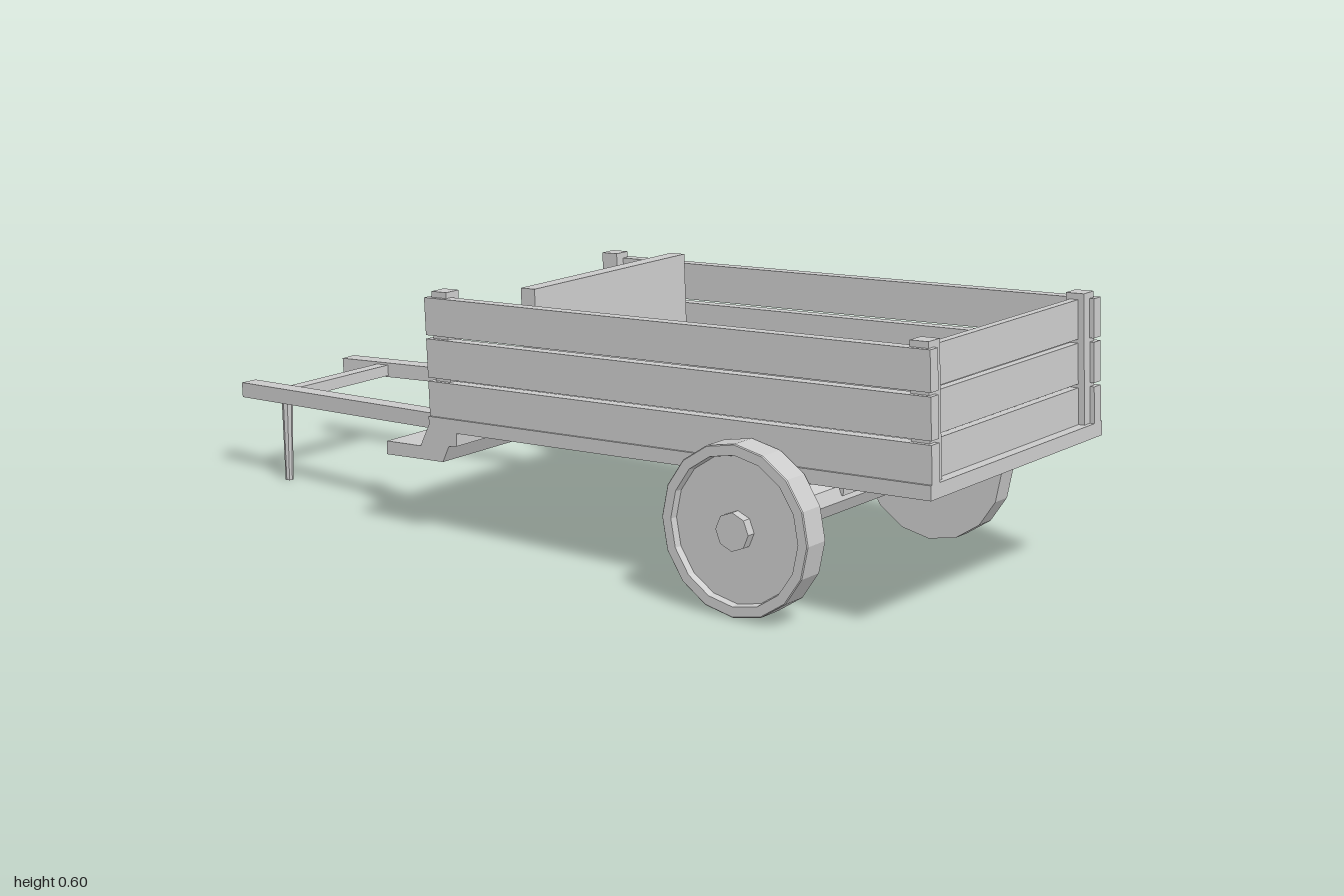
import * as THREE from 'three';

const mat = new THREE.MeshStandardMaterial({ color: 0xcccccc, flatShading: true });

function add(parent, name, geometry, x = 0, y = 0, z = 0) {
  const mesh = new THREE.Mesh(geometry, mat);
  mesh.name = name;
  mesh.position.set(x, y, z);
  parent.add(mesh);
  return mesh;
}

// Box given by its lower and upper limits on each axis
function block(parent, name, [x0, x1], [y0, y1], [z0, z1]) {
  return add(parent, name, new THREE.BoxGeometry(x1 - x0, y1 - y0, z1 - z0),
    (x0 + x1) / 2, (y0 + y1) / 2, (z0 + z1) / 2);
}

// Straight square timber between two points
function beam(parent, name, a, b, w, h) {
  const p = new THREE.Vector3(...a), q = new THREE.Vector3(...b);
  const mesh = add(parent, name, new THREE.BoxGeometry(w, h, p.distanceTo(q)));
  mesh.position.copy(p).add(q).multiplyScalar(0.5);
  mesh.lookAt(q);
  return mesh;
}

// Dished wheel turned about the axle, outer face towards the given side
function wheel(parent, side) {
  const bevel = side > 0 ? 0.012 : 0.002;
  const profile = [
    [0, 0], [0.178, 0], [0.178, 0.06 - bevel], [0.178 - bevel, 0.06],
    [0.155, 0.06], [0.152, 0.045], [0, 0.045],
  ].map(([r, h]) => new THREE.Vector2(r, h));
  const mesh = add(parent, side > 0 ? 'leftWheel' : 'rightWheel',
    new THREE.LatheGeometry(profile, 16), side * 0.33, 0.18, 0.585);
  mesh.rotation.z = -side * Math.PI / 2;
}

export function createModel() {
  const cart = new THREE.Group();
  cart.name = 'handcart';

  // Box body, tipped slightly up at the front; local z runs back from 0
  const body = new THREE.Group();
  body.name = 'body';
  body.position.set(0, 0.30, 1);
  body.rotation.x = -0.047;
  cart.add(body);

  block(body, 'floor', [-0.327, 0.327], [0, 0.03], [-1.28, 0]);

  // Three rows of planks on the sides and the front
  const rows = [[0.03, 0.107], [0.115, 0.2], [0.208, 0.29]];
  for (const row of rows) {
    for (const s of [-1, 1]) {
      block(body, 'sidePlank', s > 0 ? [0.295, 0.322] : [-0.322, -0.295], row, [-1.28, 0]);
    }
    block(body, 'frontPlank', [-0.297, 0.297], row, [-0.043, -0.024]);
  }

  // Corner posts
  for (const s of [-1, 1]) {
    const xs = s > 0 ? [0.272, 0.312] : [-0.312, -0.272];
    block(body, 'frontPost', xs, [0.02, 0.303], [-0.052, -0.01]);
    block(body, 'rearPost', xs, [0.02, 0.303], [-1.267, -1.225]);
  }

  // Divider board and the thin board behind it
  block(body, 'divider', [-0.26, 0.26], [0.03, 0.318], [-1.058, -1.02]);
  block(body, 'rearBoard', [-0.26, 0.26], [0.03, 0.036], [-1.28, -1.05]);

  // Stepped lip below the open rear end, profile given as z, y
  const lip = new THREE.Shape([
    [-0.20, 0.25], [-0.28, 0.25], [-0.305, 0.20], [-0.405, 0.195],
    [-0.405, 0.165], [-0.24, 0.174], [-0.222, 0.212], [-0.20, 0.215],
  ].map(([z, y]) => new THREE.Vector2(z, y)));
  const lipGeo = new THREE.ExtrudeGeometry(lip, { depth: 0.654, bevelEnabled: false });
  lipGeo.translate(0, 0, -0.327).rotateY(-Math.PI / 2);
  add(cart, 'rearLip', lipGeo);

  // Converging handles with a crossbar
  for (const s of [-1, 1]) {
    beam(cart, 'handle', [s * 0.217, 0.236, -0.195], [s * 0.169, 0.198, -0.999], 0.042, 0.035);
  }
  const bar = block(cart, 'crossbar', [-0.168, 0.168], [0.19, 0.216], [-0.89, -0.855]);
  bar.rotation.x = -0.047;

  // Tapered prop under the right handle
  add(cart, 'propLeg', new THREE.CylinderGeometry(0.013, 0.009, 0.195, 8), -0.179, 0.0975, -0.862);

  // Axle, its mounting block and the wheels
  const axle = add(cart, 'axle', new THREE.CylinderGeometry(0.04, 0.04, 0.79, 8), 0, 0.18, 0.585);
  axle.rotation.z = Math.PI / 2;
  block(cart, 'axleBlock', [-0.065, 0.065], [0.19, 0.285], [0.545, 0.625]);
  for (const s of [-1, 1]) wheel(cart, s);

  return cart;
}
